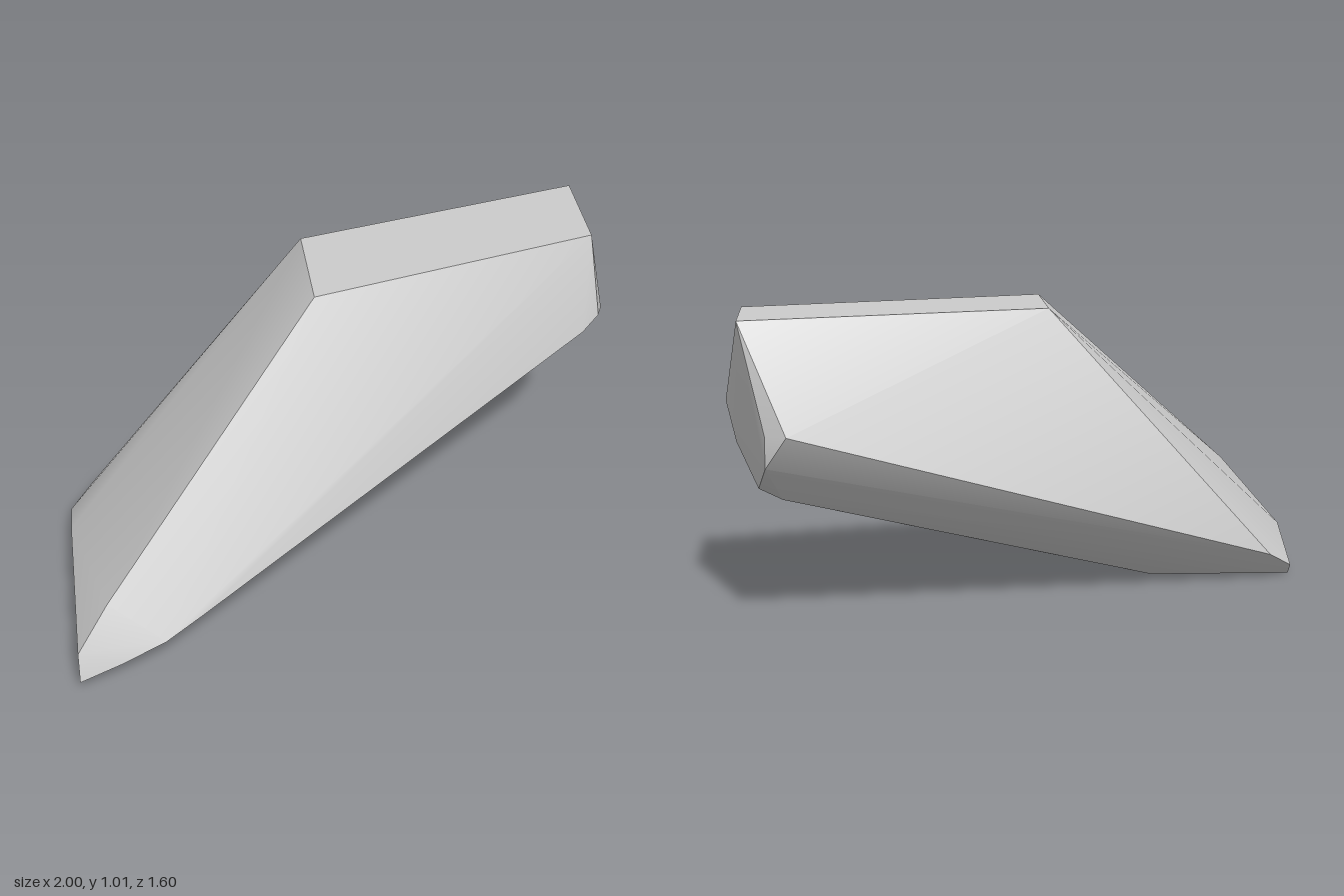
import * as THREE from 'three';
import { ConvexGeometry } from 'three/addons/geometries/ConvexGeometry.js';
import { toCreasedNormals } from 'three/addons/utils/BufferGeometryUtils.js';

const toPoints = (list) => list.map((p) => new THREE.Vector3(...p));

export function createModel() {
  // flat cap along the top
  const top = [[-0.1, 1.01, 0.03], [-0.1, 1.01, -0.36], [0.94, 1.01, -0.6], [0.94, 1.01, -0.24]];

  // low pointed end, cut flat at the side
  const tip = [
    [-1, 0.14, 0.77], [-1, 0.04, 0.8], [-1, 0.015, 0.77], [-0.89, 0.27, 0.68],
    [-1, 0, -0.1], [-1, 0.04, -0.14], [-0.91, 0.1, -0.22], [-1, 0.14, 0.1],
  ];

  // long front ridge, curving down to the tip
  const ridge = [[-0.85, 0.08, 0.77], [-0.7, 0.12, 0.725], [-0.57, 0.165, 0.66], [0.9, 0.68, -0.11], [0.97, 0.71, -0.17]];

  // flat foot and the rise of the underside
  const underside = [
    [-1, 0, 0.6], [-0.7, 0, 0.52], [-0.5, 0.005, 0.25], [-0.5, 0.005, -0.1],
    [-0.3, 0.03, 0.0], [-0.15, 0.07, -0.04], [0, 0.13, -0.12],
  ];

  // slanted facet at the high end
  const end = [
    [1, 0.69, -0.25], [0.96, 0.57, -0.38], [0.88, 0.45, -0.58], [0.8, 0.42, -0.62],
    [0.85, 0.55, -0.75], [0.85, 0.66, -0.76], [0.78, 0.66, -0.8],
  ];

  const hull = new ConvexGeometry(toPoints([...top, ...tip, ...ridge, ...underside, ...end]));
  const stone = new THREE.Mesh(
    toCreasedNormals(hull, 0.6),
    new THREE.MeshStandardMaterial({ color: 0xcccccc }),
  );
  stone.name = 'stone';

  const group = new THREE.Group();
  group.name = 'rock';
  group.add(stone);
  return group;
}
